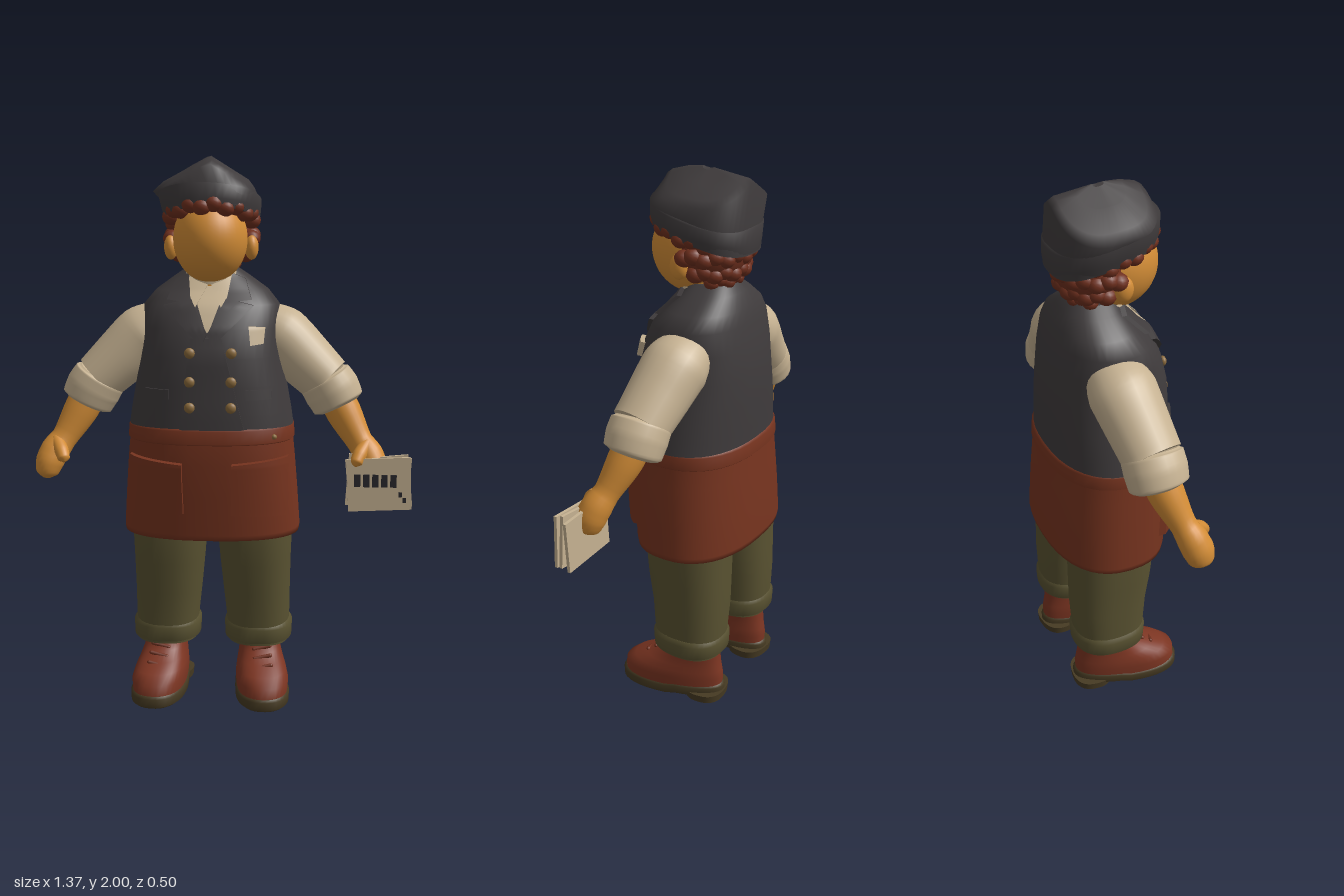
import * as THREE from 'three';

const mat = (name, color) => new THREE.MeshStandardMaterial({ name, color });
const M = {
  charcoal: mat('charcoal cloth', 0x3f3b3c), skin: mat('skin', 0xd28c36), leather: mat('apron leather', 0x77341f),
  linen: mat('linen and paper', 0xc6b292), olive: mat('olive trousers', 0x595231), hair: mat('auburn hair', 0x70301e),
  shoe: mat('shoe leather', 0x7c3522), sole: mat('sole', 0x463a22), brass: mat('brass', 0x8a6a3c), ink: mat('ink', 0x29282c),
};

const add = (parent, name, geo, material, x = 0, y = 0, z = 0) => {
  const m = new THREE.Mesh(geo, material);
  m.name = name;
  m.position.set(x, y, z);
  parent.add(m);
  return m;
};

// Skin a list of equal rings, closing both ends with flat caps
function skinRings(rings) {
  const n = rings[0].length, pos = [], idx = [];
  rings.forEach(r => r.forEach(p => pos.push(p.x, p.y, p.z)));
  for (let i = 0; i < rings.length - 1; i++) for (let j = 0; j < n; j++) {
    const a = i * n + j, b = i * n + (j + 1) % n;
    idx.push(a, a + n, b, b, a + n, b + n);
  }
  [rings[0], rings[rings.length - 1]].forEach((r, end) => {
    const base = pos.length / 3, c = new THREE.Vector3();
    r.forEach(p => { pos.push(p.x, p.y, p.z); c.addScaledVector(p, 1 / n); });
    pos.push(c.x, c.y, c.z);
    for (let j = 0; j < n; j++) {
      const a = base + j, b = base + (j + 1) % n;
      end ? idx.push(base + n, b, a) : idx.push(base + n, a, b);
    }
  });
  const g = new THREE.BufferGeometry();
  g.setAttribute('position', new THREE.Float32BufferAttribute(pos, 3));
  g.setIndex(idx);
  g.computeVertexNormals();
  return g;
}

const pw = (v, e) => Math.sign(v) * Math.abs(v) ** e;
// Upright loft; row = [y, centre x, centre z, radius x, radius z]; warp may move each point
function loft(rows, n = 2.4, warp = null, seg = 40) {
  return skinRings(rows.map(([y, cx, cz, rx, rz], i) => Array.from({ length: seg }, (_, j) => {
    const a = j / seg * Math.PI * 2;
    const p = new THREE.Vector3(cx + rx * pw(Math.cos(a), 2 / n), y, cz + rz * pw(Math.sin(a), 2 / n));
    if (warp) warp(p, i);
    return p;
  })));
}

// Limb along a smooth path; node = [x, y, z, radius across, radius in depth]
function limb(nodes, steps = 20, seg = 24) {
  const curve = new THREE.CatmullRomCurve3(nodes.map(k => new THREE.Vector3(k[0], k[1], k[2])));
  return skinRings(Array.from({ length: steps + 1 }, (_, i) => {
    const t = i / steps, f = t * (nodes.length - 1), k = Math.min(Math.floor(f), nodes.length - 2);
    const r = [3, 4].map(q => THREE.MathUtils.lerp(nodes[k][q], nodes[k + 1][q], f - k));
    const c = curve.getPoint(t), T = curve.getTangent(t);
    const e1 = T.clone().cross(new THREE.Vector3(0, 0, 1)).normalize(), e2 = e1.clone().cross(T);
    return Array.from({ length: seg }, (_, j) => {
      const a = j / seg * Math.PI * 2;
      return c.clone().addScaledVector(e1, Math.cos(a) * r[0]).addScaledVector(e2, Math.sin(a) * r[1]);
    });
  }));
}

// Front surface depth of a loft at (x, y)
function frontZ(rows, x, y, n = 2.4) {
  let i = 0;
  while (i < rows.length - 2 && rows[i + 1][0] < y) i++;
  const t = THREE.MathUtils.clamp((y - rows[i][0]) / (rows[i + 1][0] - rows[i][0]), 0, 1);
  const [cx, cz, rx, rz] = [1, 2, 3, 4].map(k => THREE.MathUtils.lerp(rows[i][k], rows[i + 1][k], t));
  return cz + rz * (1 - Math.min(1, Math.abs((x - cx) / rx) ** n)) ** (1 / n);
}

// Plate draped on a loft's front; corners = bottom left, bottom right, top right, top left
function drape(rows, corners, thick, s = 1) {
  const [bl, br, tr, tl] = s > 0 ? corners : [1, 0, 3, 2].map(k => [-corners[k][0], corners[k][1]]);
  const g = new THREE.BoxGeometry(1, 1, 1, 10, 10, 1), p = g.attributes.position;
  for (let i = 0; i < p.count; i++) {
    const u = p.getX(i) + 0.5, v = p.getY(i) + 0.5;
    const [x, y] = [0, 1].map(k => (bl[k] * (1 - u) + br[k] * u) * (1 - v) + (tl[k] * (1 - u) + tr[k] * u) * v);
    p.setXYZ(i, x, y, frontZ(rows, x, y) + (p.getZ(i) > 0 ? thick : -0.01));
  }
  g.computeVertexNormals();
  return g;
}
const rect = (x0, x1, y0, y1) => [[x0, y0], [x1, y0], [x1, y1], [x0, y1]];

const VEST = [[1.03, 0, 0.003, 0.303, 0.22], [1.1, 0, 0.003, 0.293, 0.22], [1.2, 0, 0, 0.275, 0.218], [1.3, 0, 0, 0.257, 0.214],
  [1.4, 0, -0.008, 0.25, 0.196], [1.48, 0, -0.02, 0.246, 0.165], [1.53, 0, -0.04, 0.205, 0.133],
  [1.58, 0, -0.045, 0.135, 0.1], [1.61, 0, -0.04, 0.09, 0.08]];
const APRON = [[0.64, 0, -0.02, 0.326, 0.218], [0.66, 0, -0.02, 0.328, 0.222], [0.8, 0, -0.01, 0.318, 0.226],
  [0.92, 0, 0, 0.308, 0.228], [1.0, 0, 0.003, 0.3, 0.225], [1.05, 0, 0.003, 0.298, 0.222]];

function buildHead(g) {
  add(g, 'neck', new THREE.CylinderGeometry(0.08, 0.09, 0.14, 24), M.skin, 0, 1.58, 0);
  add(g, 'head', new THREE.SphereGeometry(1, 36, 28), M.skin, 0, 1.71, 0.05).scale.set(0.132, 0.155, 0.152);
  add(g, 'hairBack', new THREE.SphereGeometry(1, 28, 20), M.hair, 0, 1.725, -0.045).scale.set(0.15, 0.125, 0.122);
  for (const s of [-1, 1]) {
    const ear = add(g, 'ear', new THREE.SphereGeometry(1, 16, 12), M.skin, s * 0.145, 1.68, 0.02);
    ear.scale.set(0.025, 0.045, 0.033);
  }
  // curls: a fringe all round, then lower rows round the back
  const curl = new THREE.SphereGeometry(1, 12, 10);
  const ring = (count, from, to, y, rx, rz, cz, r) => {
    for (let i = 0; i < count; i++) {
      const a = from + (to - from) * i / (count - 1);
      const c = add(g, 'curl', curl, M.hair, rx * Math.cos(a), y(Math.sin(a)) + (i % 2) * 0.012, cz + rz * Math.sin(a));
      c.scale.set(r, r * 0.9, r);
    }
  };
  const P = Math.PI;
  ring(22, 0, P * 2 * 21 / 22, k => 1.775 + 0.045 * k, 0.143, 0.155, 0.012, 0.034);
  ring(13, P * 0.96, P * 2.04, () => 1.71, 0.143, 0.13, -0.015, 0.034);
  ring(11, P * 1.02, P * 1.98, () => 1.655, 0.12, 0.105, -0.025, 0.034);
  ring(7, P * 1.15, P * 1.85, () => 1.62, 0.085, 0.075, -0.035, 0.028);
  // tent-shaped cap with a fore-and-aft ridge
  const roof = p => 1.998 - (p.x < 0 ? 0.54 : 0.62) * Math.abs(p.x) - 0.12 * Math.max(0, -p.z) - 0.2 * Math.max(0, p.z - 0.06);
  const cap = [[1.775, 0, 0, 0.162, 0.184], [1.84, 0, 0, 0.172, 0.182], [0, -0.028, -0.015, 0.18, 0.165],
    [0, -0.02, -0.015, 0.155, 0.142], [0, -0.01, -0.01, 0.08, 0.08], [0, 0, -0.01, 0.015, 0.02]];
  add(g, 'cap', loft(cap, 2.6, (p, i) => { p.y = i > 1 ? roof(p) - (i === 2 ? 0.012 : 0) : p.y + 0.3 * p.z; }, 48), M.charcoal);
  add(g, 'capBand', loft([[1.772, 0, 0, 0.166, 0.186], [1.8, 0, 0, 0.175, 0.19], [1.855, -0.005, -0.002, 0.184, 0.188],
    [1.86, -0.005, -0.002, 0.168, 0.172]], 2.3, p => { p.y += 0.25 * p.z - 0.06 * Math.max(0, p.x) * (p.y > 1.84); }, 48), M.charcoal);
}

function buildTorso(g) {
  add(g, 'vest', loft(VEST), M.charcoal);
  add(g, 'vestOverlap', drape(VEST, [[-0.095, 1.05], [0.13, 1.05], [0.05, 1.37], [-0.06, 1.37]], 0.007), M.charcoal);
  add(g, 'shirtFront', drape(VEST, [[-0.005, 1.39], [0.005, 1.39], [0.075, 1.585], [-0.075, 1.585]], 0.006), M.linen);
  add(g, 'shirtCollar', loft([[1.55, 0, -0.005, 0.1, 0.095], [1.595, 0, 0.003, 0.093, 0.09], [1.597, 0, 0.003, 0.08, 0.078]], 2), M.linen);
  for (const s of [-1, 1]) {
    add(g, 'collarWing', drape(VEST, [[0.045, 1.475], [0.075, 1.52], [0.075, 1.58], [0.006, 1.55]], 0.016, s), M.linen);
    add(g, 'vestCollar', drape(VEST, [[0.062, 1.49], [0.15, 1.5], [0.125, 1.57], [0.078, 1.59]], 0.018, s), M.charcoal);
    add(g, 'lapel', drape(VEST, [[0, 1.385], [0.02, 1.345], [0.16, 1.48], [0.062, 1.505]], 0.018, s), M.charcoal);
    add(g, 'vestPocket', drape(VEST, rect(0.135, 0.225, 1.155, 1.19), 0.009, s), M.charcoal);
  }
  for (const x of [-0.06, 0.085]) for (const y of [1.32, 1.22, 1.13]) {
    add(g, 'button', new THREE.SphereGeometry(1, 16, 10), M.brass, x, y, frontZ(VEST, x, y) + 0.01).scale.set(0.019, 0.019, 0.013);
  }
  add(g, 'badge', drape(VEST, [[0.15, 1.345], [0.195, 1.35], [0.2, 1.405], [0.143, 1.41]], 0.018), M.linen);
  // apron wraps all round and is hollow underneath
  add(g, 'apron', loft([[0.78, 0, -0.02, 0.3, 0.195], [0.645, 0, -0.02, 0.31, 0.203], ...APRON]), M.leather);
  add(g, 'apronBand', loft([[0.995, 0, 0.003, 0.3, 0.226], [1.0, 0, 0.003, 0.306, 0.231], [1.045, 0, 0.003, 0.303, 0.228],
    [1.052, 0, 0.003, 0.295, 0.22]]), M.leather);
  for (const s of [-1, 1]) {
    add(g, 'apronPocket', drape(APRON, [[0.085, 0.745], [0.29, 0.73], [0.283, 0.94], [0.09, 0.925]], 0.028, s), M.leather);
    add(g, 'apronPocketHem', drape(APRON, [[0.088, 0.895], [0.287, 0.905], [0.285, 0.945], [0.088, 0.93]], 0.034, s), M.leather);
  }
  add(g, 'apronStud', new THREE.SphereGeometry(0.01, 10, 8), M.brass, 0.235, 1.02, frontZ(APRON, 0.235, 1.02) + 0.008);
}

function buildArm(g, s) {
  const part = (name, nodes, m) => add(g, name, limb(nodes.map(([x, ...r]) => [s * x, ...r])), m);
  part('sleeve', [[0.17, 1.4, -0.035, 0.09, 0.1], [0.25, 1.36, -0.03, 0.112, 0.12], [0.335, 1.28, -0.015, 0.106, 0.112],
    [0.42, 1.2, 0, 0.095, 0.105]], M.linen);
  part('rolledCuff', [[0.408, 1.215, 0, 0.085, 0.095], [0.414, 1.205, 0, 0.099, 0.108], [0.44, 1.165, 0.002, 0.103, 0.11],
    [0.464, 1.118, 0.004, 0.096, 0.104], [0.469, 1.108, 0.005, 0.075, 0.08]], M.linen);
  part('forearm', [[0.44, 1.17, 0, 0.066, 0.066], [0.488, 1.08, 0.025, 0.064, 0.062], [0.54, 0.99, 0.058, 0.047, 0.045],
    [0.572, 0.945, 0.078, 0.054, 0.054], [0.592, 0.9, 0.095, 0.052, 0.056], [0.6, 0.86, 0.103, 0.04, 0.045],
    [0.602, 0.843, 0.105, 0.012, 0.012]], M.skin);
  part('thumb', [[0.565, 0.985, 0.085, 0.024, 0.024], [0.54, 0.95, 0.125, 0.026, 0.026], [0.527, 0.925, 0.148, 0.022, 0.022],
    [0.524, 0.915, 0.155, 0.006, 0.006]], M.skin);
}

function buildLeg(g, s) {
  add(g, 'trouserLeg', loft([[0.2, s * 0.175, -0.048, 0.115, 0.13], [0.3, s * 0.173, -0.046, 0.12, 0.138], [0.4, s * 0.168, -0.045, 0.126, 0.145],
    [0.52, s * 0.163, -0.035, 0.133, 0.155], [0.64, s * 0.16, -0.03, 0.14, 0.16], [0.8, s * 0.155, -0.03, 0.14, 0.16]]), M.olive);
  add(g, 'trouserCuff', loft([[0.205, s * 0.175, -0.048, 0.11, 0.125], [0.213, s * 0.175, -0.048, 0.127, 0.14],
    [0.265, s * 0.175, -0.048, 0.129, 0.143], [0.282, s * 0.175, -0.048, 0.118, 0.132]]), M.olive);
  // shoe: toe broader than heel, turned slightly outward
  const shoe = new THREE.Group();
  shoe.name = 'shoe';
  shoe.position.set(s * 0.185, 0, 0);
  shoe.rotation.y = s * 0.12;
  g.add(shoe);
  const toe = p => { p.x *= 1 + p.z * 0.9; };
  add(shoe, 'shoeUpper', loft([[0.04, 0, 0.025, 0.09, 0.202], [0.085, 0, 0.022, 0.094, 0.202], [0.115, 0, 0.005, 0.09, 0.18],
    [0.14, 0, -0.02, 0.085, 0.15], [0.17, 0, -0.045, 0.08, 0.122], [0.2, 0, -0.06, 0.08, 0.105], [0.24, 0, -0.06, 0.08, 0.1]], 2.3, toe), M.shoe);
  const bend = p => { toe(p); p.y += p.z < 0 ? 0.008 : 0; };
  add(shoe, 'sole', loft([[0.002, 0, 0.025, 0.086, 0.203], [0.01, 0, 0.025, 0.095, 0.212], [0.04, 0, 0.025, 0.096, 0.212],
    [0.048, 0, 0.025, 0.088, 0.203]], 2.3, bend), M.sole);
  add(shoe, 'heel', loft([[0, 0, -0.115, 0.085, 0.075], [0.03, 0, -0.115, 0.088, 0.078]], 2.5), M.sole);
  for (const [y, z] of [[0.135, 0.125], [0.16, 0.09], [0.185, 0.058]]) {
    const lace = add(shoe, 'lace', new THREE.CapsuleGeometry(0.008, 0.06, 4, 8), M.hair, 0, y, z);
    lace.rotation.z = Math.PI / 2 + 0.2 * s;
  }
}

function buildCards(g) {
  const cards = new THREE.Group();
  cards.name = 'cards';
  cards.position.set(0.61, 0.848, 0);
  g.add(cards);
  [[0.1, -0.06], [0.122, 0.1], [0.145, 0.05]].forEach(([z, r]) => {
    add(cards, 'card', new THREE.BoxGeometry(0.225, 0.19, 0.012), M.linen, 0, 0, z).rotation.z = r;
  });
  for (let i = 0; i < 5; i++) {
    add(cards, 'printedBar', new THREE.BoxGeometry(0.022, 0.045, 0.008), M.ink, -0.078 + i * 0.032, 0.014, 0.153);
  }
  for (const [x, y] of [[0.075, -0.035], [0.09, -0.055]]) {
    add(cards, 'printedDot', new THREE.BoxGeometry(0.012, 0.018, 0.006), M.ink, x, y, 0.151);
  }
}

export function createModel() {
  const model = new THREE.Group();
  model.name = 'shopkeeper';
  const figure = new THREE.Group();
  figure.name = 'figure';
  figure.position.x = -0.045;
  model.add(figure);
  buildHead(figure);
  buildTorso(figure);
  for (const s of [-1, 1]) {
    buildArm(figure, s);
    buildLeg(figure, s);
  }
  buildCards(figure);
  return model;
}
